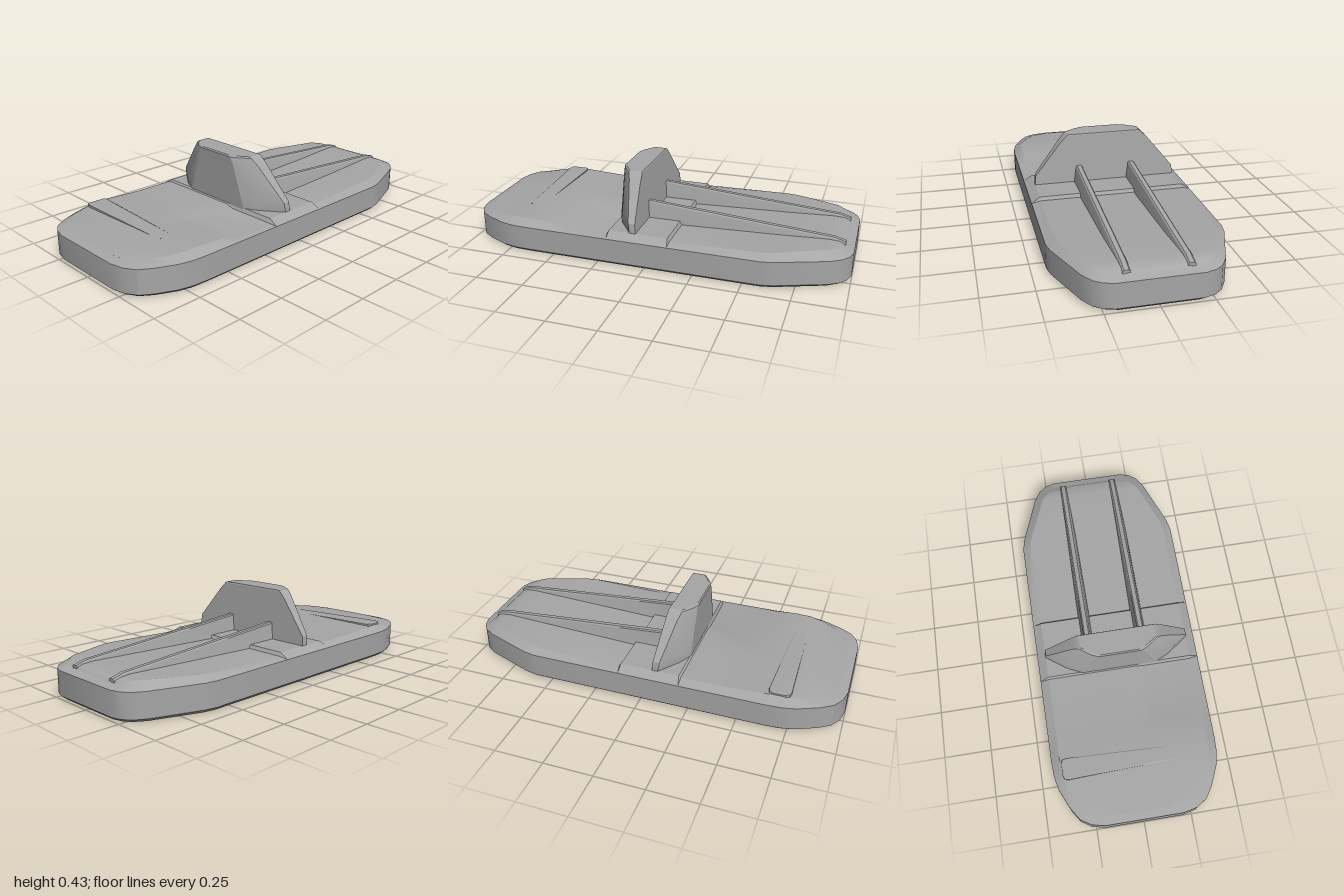
import * as THREE from 'three';
import { toCreasedNormals } from 'three/addons/utils/BufferGeometryUtils.js';

// Joins matching cross-sections into a closed solid with strip-filled ends.
function loft(sections, crease = 0.4) {
  const n = sections[0].length, last = sections.length - 1, tris = [];
  const at = (s, i) => sections[s][i % n];
  for (let s = 0; s < last; s++) for (let i = 0; i < n; i++) {
    const a = at(s, i), b = at(s, i + 1), c = at(s + 1, i + 1), d = at(s + 1, i);
    tris.push([a, b, c], [a, c, d]);
  }
  for (const s of [0, last]) for (let i = 0, j = n - 1; i < j; i++, j--) {
    const quad = [[at(s, i), at(s, i + 1), at(s, j)]];
    if (j - 1 > i + 1) quad.push([at(s, i + 1), at(s, j - 1), at(s, j)]);
    for (const t of quad) tris.push(s === 0 ? [t[0], t[2], t[1]] : t);
  }
  // Turn the faces outward whichever way the sections run
  let volume = 0;
  const v = p => new THREE.Vector3(...p);
  for (const [a, b, c] of tris) volume += v(a).dot(v(b).cross(v(c)));
  if (volume < 0) tris.forEach(t => t.reverse());
  const g = new THREE.BufferGeometry();
  g.setAttribute('position', new THREE.Float32BufferAttribute(tris.flat(2), 3));
  return toCreasedNormals(g, crease);
}

export function createModel() {
  const group = new THREE.Group();
  const grey = new THREE.MeshStandardMaterial({ color: 0xa6a6a6 });
  grey.name = 'plain grey';
  const add = (name, geometry) => {
    const mesh = new THREE.Mesh(geometry, grey);
    mesh.name = name;
    group.add(mesh);
  };

  // Base plate stations: z, half width, top height on the right and left
  const stations = [
    [1, 0.2, 0.153, 0.153], [0.985, 0.27, 0.154, 0.154], [0.95, 0.325, 0.156, 0.156],
    [0.89, 0.365, 0.16, 0.16], [0.79, 0.41, 0.168, 0.168], [0.72, 0.426, 0.174, 0.174],
    [0.64, 0.43, 0.174, 0.174], [0.52, 0.43, 0.167, 0.167], [0.42, 0.43, 0.163, 0.15],
    [0.205, 0.43, 0.163, 0.15], [0.195, 0.43, 0.171, 0.171], [-0.115, 0.43, 0.171, 0.171],
    [-0.125, 0.43, 0.153, 0.153], [-0.59, 0.43, 0.168, 0.168], [-0.65, 0.418, 0.17, 0.17],
    [-0.9, 0.325, 0.178, 0.178], [-0.955, 0.29, 0.174, 0.174], [-0.985, 0.25, 0.166, 0.166],
    [-1, 0.2, 0.155, 0.155],
  ];
  const plate = stations.map(([z, w, right, left]) => {
    // Each point is pulled inward by d to bevel the rim
    const p = (side, d, y) => [side * (w - d), y, z - d * z ** 5];
    const inner = (x, y) => [x, y, z - 0.04 * z ** 5];
    return [
      p(-1, 0.02, 0), p(-1, 0, 0.018), p(-1, 0, 0.142), p(-1, 0.045, right),
      inner(-0.1, right), inner(0.085, right), inner(0.125, left),
      p(1, 0.045, left), p(1, 0, 0.142), p(1, 0, 0.018), p(1, 0.02, 0),
    ];
  });
  add('basePlate', loft(plate));

  // Upright block: y, half width, tip thickness, front half width, back z, front z
  const levels = [
    [0.15, 0.385, 0.03, 0.2, 0.05, 0.198], [0.18, 0.385, 0.032, 0.2, 0.053, 0.199],
    [0.22, 0.38, 0.035, 0.185, 0.056, 0.2], [0.39, 0.24, 0.06, 0.13, 0.074, 0.204],
    [0.425, 0.205, 0.07, 0.11, 0.077, 0.206], [0.431, 0.195, 0.065, 0.1, 0.08, 0.2],
  ];
  add('uprightBlock', loft(levels.map(([y, w, t, f, zb, zf]) => {
    const mid = zb + t + (zf - zb - t) * 0.7;
    const half = [[w, zb], [w, zb + t], [f + (w - f) * 0.4, mid], [f, zf]];
    return [
      ...half.map(([x, z]) => [x, y, z]),
      ...half.slice().reverse().map(([x, z]) => [-x, y, z]),
    ];
  }), 0.3));

  // Pair of tapering ribs that brace the block from behind
  for (const [name, x] of [['rightRib', -0.148], ['leftRib', 0.142]]) {
    const section = ([z, top, base]) => [
      [x - base, 0.14, z], [x - 0.017, top - 0.006, z], [x - 0.011, top, z],
      [x + 0.011, top, z], [x + 0.017, top - 0.006, z], [x + base, 0.14, z],
    ];
    add(name, loft([[0.1, 0.262, 0.034], [0.04, 0.258, 0.034],
      [-0.9, 0.188, 0.03], [-0.955, 0.172, 0.025]].map(section)));
  }

  // Low strip across the front, sinking into the plate toward the left
  const strip = [[-0.38, 0.035, 0.182], [-0.372, 0.05, 0.186], [-0.35, 0.055, 0.186],
    [0.2, 0.036, 0.174]];
  add('frontStrip', loft(strip.map(([x, h, y]) => [
    [x, 0.15, 0.695 - h], [x, y - 0.003, 0.695 - h], [x, y, 0.7 - h],
    [x, y, 0.69 + h], [x, y - 0.003, 0.695 + h], [x, 0.15, 0.695 + h],
  ])));

  return group;
}
